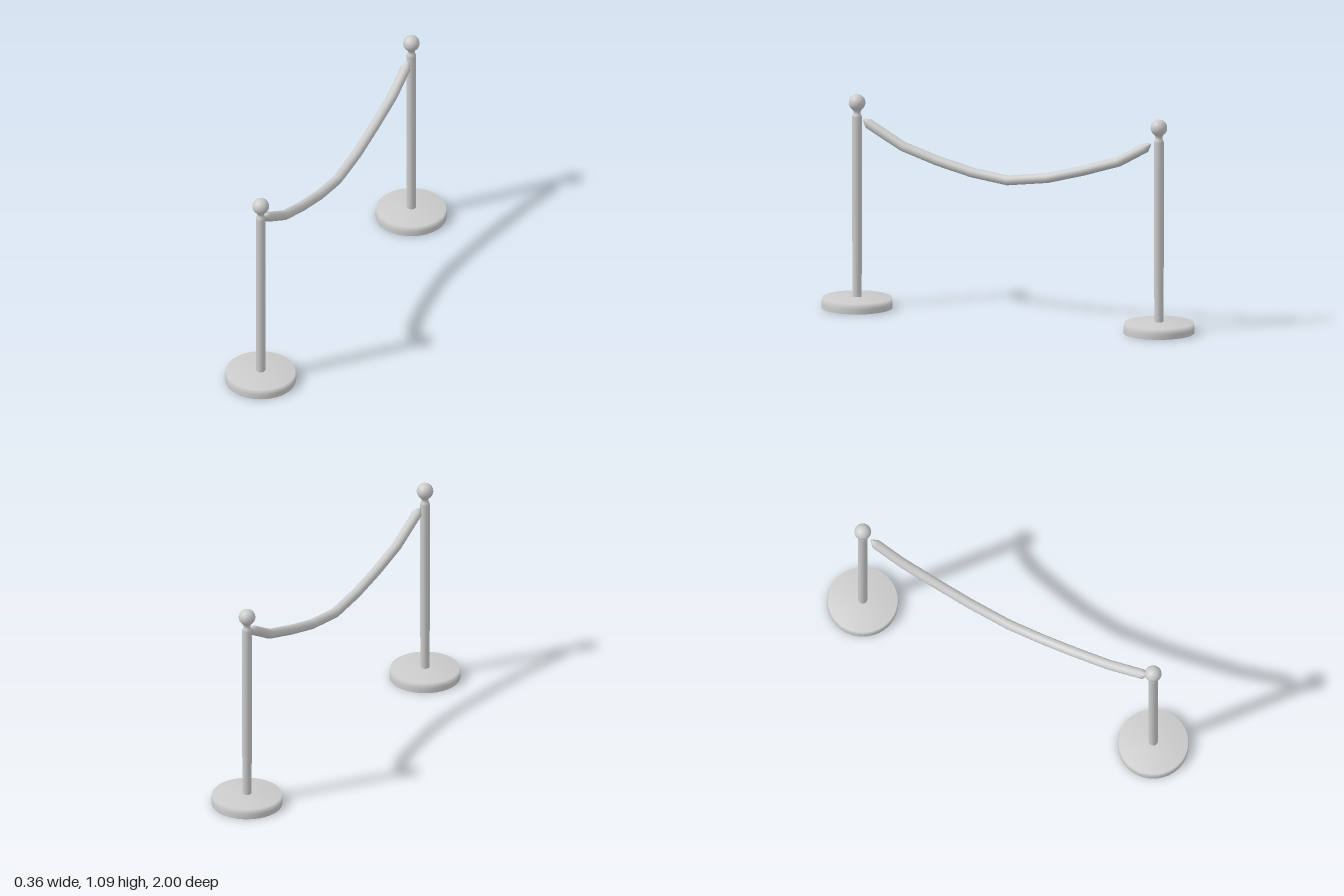
import * as THREE from 'three';

const material = new THREE.MeshStandardMaterial({ color: 0xcccccc });

function lathe(name, profile, segments) {
  const points = profile.map(([r, y]) => new THREE.Vector2(r, y));
  const mesh = new THREE.Mesh(new THREE.LatheGeometry(points, segments), material);
  mesh.name = name;
  return mesh;
}

function createStanchion(name) {
  const group = new THREE.Group();
  group.name = name;

  // Weighted foot: flat underside, slightly tapered rim, nearly flat top
  const underside = new THREE.Mesh(new THREE.CircleGeometry(0.178, 40), material);
  underside.name = 'footUnderside';
  underside.rotation.x = Math.PI / 2;
  group.add(underside);
  group.add(lathe('foot', [[0.178, 0], [0.179, 0.025], [0.174, 0.053], [0, 0.058]], 40));

  // Post with a chamfered shoulder and a narrow neck
  group.add(lathe('post', [
    [0.023, 0.05], [0.025, 0.5], [0.025, 0.975], [0.021, 0.986],
    [0.018, 0.993], [0.017, 1.0], [0.02, 1.008], [0.028, 1.02],
  ], 20));

  const finial = new THREE.Mesh(new THREE.SphereGeometry(0.042, 24, 16), material);
  finial.name = 'finial';
  finial.position.y = 1.049;
  group.add(finial);
  return group;
}

// Round sections swept along a sagging path in the yz plane: [z, y, radius]
function createRope() {
  const path = [
    [0.782, 0.967, 0.006], [0.757, 0.948, 0.025], [0.57, 0.846, 0.025],
    [0.382, 0.787, 0.025], [0.195, 0.742, 0.025], [0, 0.716, 0.025],
    [-0.215, 0.745, 0.025], [-0.41, 0.798, 0.025], [-0.605, 0.86, 0.025],
    [-0.75, 0.943, 0.025], [-0.776, 0.963, 0.006],
  ];
  const sides = 16, positions = [], index = [];
  path.forEach(([z, y, r], i) => {
    const a = path[Math.max(i - 1, 0)], b = path[Math.min(i + 1, path.length - 1)];
    const length = Math.hypot(b[0] - a[0], b[1] - a[1]);
    const tz = (b[0] - a[0]) / length, ty = (b[1] - a[1]) / length;
    for (let j = 0; j < sides; j++) {
      const angle = (j / sides) * Math.PI * 2;
      const s = Math.sin(angle) * r;
      positions.push(Math.cos(angle) * r, y - tz * s, z + ty * s);
      if (i < path.length - 1) {
        const k = (j + 1) % sides, p = i * sides, q = p + sides;
        index.push(p + j, p + k, q + j, p + k, q + k, q + j);
      }
    }
  });
  // Close both tips
  const last = (path.length - 1) * sides;
  for (let j = 1; j < sides - 1; j++) {
    index.push(0, j + 1, j, last, last + j, last + j + 1);
  }
  const geometry = new THREE.BufferGeometry();
  geometry.setAttribute('position', new THREE.Float32BufferAttribute(positions, 3));
  geometry.setIndex(index);
  geometry.computeVertexNormals();
  const rope = new THREE.Mesh(geometry, material.clone());
  rope.material.side = THREE.DoubleSide;
  rope.name = 'rope';
  rope.position.x = 0.006;
  return rope;
}

export function createModel() {
  const model = new THREE.Group();
  model.name = 'ropeBarrier';
  for (const [name, z] of [['frontStanchion', 0.821], ['backStanchion', -0.821]]) {
    const stanchion = createStanchion(name);
    stanchion.position.z = z;
    model.add(stanchion);
  }
  model.add(createRope());
  return model;
}
